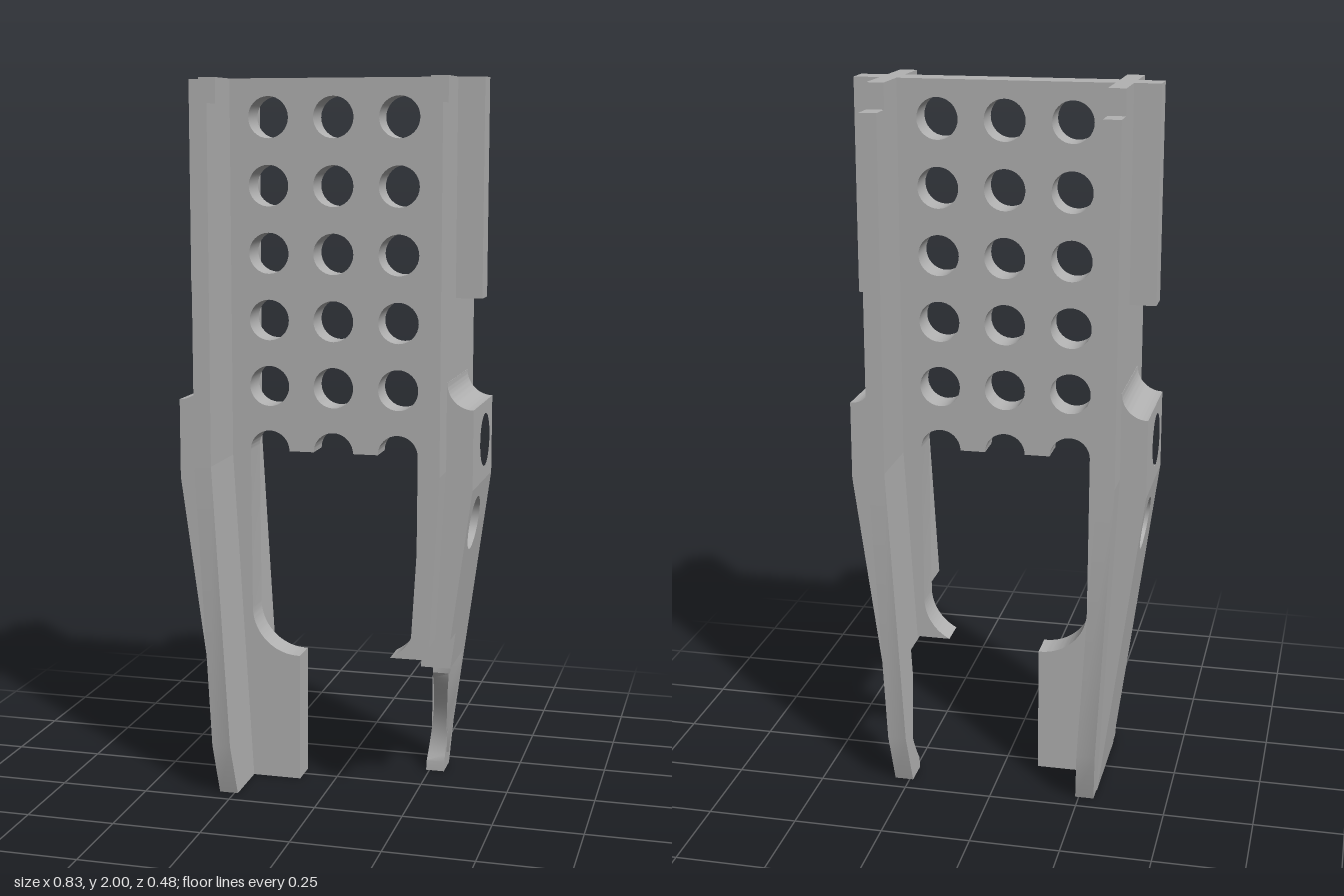
import * as THREE from 'three';
import { toCreasedNormals } from 'three/addons/utils/BufferGeometryUtils.js';

const BEND = 0.95;     // height where the side plates start leaning inward
const PAD_BEND = 0.9;  // height where the outer pads start tapering

const lerpBelow = (bend, low, high) => y => low + (high - low) * Math.min(1, y / bend);
const plateInner = lerpBelow(BEND, 0.24, 0.295);
const plateOuter = lerpBelow(BEND, 0.293, 0.343);
const padInner = y => plateOuter(y) - 0.004;
const padOuter = lerpBelow(PAD_BEND, 0.295, 0.416);

// Slab drawn as a [z, y] outline, with its two faces following x = inner(y), outer(y)
function slab(outline, inner, outer, hole, scoop) {
  const shape = new THREE.Shape(outline.map(([z, y]) => new THREE.Vector2(-z, y)));
  if (hole) shape.holes.push(new THREE.Path().absarc(-hole[0], hole[1], 0.074, 0, Math.PI * 2, true));
  const geo = new THREE.ExtrudeGeometry(shape, { depth: 1, bevelEnabled: false, curveSegments: 16 });
  geo.rotateY(Math.PI / 2);
  const p = geo.attributes.position;
  for (let i = 0; i < p.count; i++) {
    const isInner = p.getX(i) < 0.5, y = p.getY(i), z = p.getZ(i);
    if (scoop) p.setZ(i, z - scoop(y, z, isInner));
    p.setX(i, isInner ? inner(y) : outer(y));
  }
  return toCreasedNormals(geo, 0.5);
}

// Flat [x, y] shape extruded symmetrically along z
function extrudeZ(shape, halfDepth) {
  const geo = new THREE.ExtrudeGeometry(shape, { depth: halfDepth * 2, bevelEnabled: false, curveSegments: 16 });
  geo.translate(0, 0, -halfDepth);
  return toCreasedNormals(geo, 0.5);
}

function webShape() {
  const s = new THREE.Shape();
  const columns = [-0.185, 0, 0.185], r = 0.057;
  s.moveTo(-0.3, 2);
  s.lineTo(-0.3, BEND);
  s.lineTo(-0.25, 0);
  s.lineTo(-0.1, 0);
  s.lineTo(-0.1, 0.37);
  s.absarc(-0.105, 0.505, 0.135, -Math.PI / 2, -Math.PI, true);
  // Half holes along the lower edge
  for (const x of columns) s.absarc(x, 0.967, r, Math.PI, 0, true);
  // Fillet on the broken side stops early
  s.absarc(0.105, 0.505, 0.135, 0, -1.1, true);
  s.lineTo(0.267, 0.385);
  s.lineTo(0.3, BEND);
  s.lineTo(0.3, 2);
  for (const x of columns)
    for (let row = 0; row < 5; row++)
      s.holes.push(new THREE.Path().absarc(x, 1.895 - row * 0.186, r, 0, Math.PI * 2, true));
  return s;
}

export function createModel() {
  const model = new THREE.Group();
  const grey = new THREE.MeshStandardMaterial({ color: 0xb2b2b2 });
  grey.name = 'plain grey';
  const add = (parent, name, geo) => {
    const mesh = new THREE.Mesh(geo, grey);
    mesh.name = name;
    parent.add(mesh);
    return mesh;
  };

  add(model, 'perforatedWeb', extrudeZ(webShape(), 0.043));

  const W = 0.24, P = 0.148;
  const upperPlate = [[W, BEND], [W, 1.93], [0.167, 1.93], [0.167, 2],
    [-0.167, 2], [-0.167, 1.93], [-W, 1.93], [-W, BEND]];
  const lowerPlate = [[W, BEND], [W, 0.15], [0.2, 0], [-0.2, 0], [-W, 0.15], [-W, BEND]];
  const lowerPad = [[P, PAD_BEND], [P, 0], [-P, 0], [-P, PAD_BEND]];

  // Broken leg: stepped lower end, with a thin spike left at the rear
  const steps = [[0.07, 0.48], [0.07, 0.375], [-0.12, 0.375]];
  const biteEdge = [];
  for (let i = 0; i <= 14; i++) biteEdge.push([-0.12, 0.3 - 0.27 * i / 14]);
  const brokenPlate = [[W, BEND], [W, 0.48], ...steps, ...biteEdge,
    [-0.12, 0], [-0.2, 0], [-W, 0.15], [-W, BEND]];
  const brokenPad = [[P, PAD_BEND], [P, 0.48], ...steps,
    [-0.12, 0.24], [-0.135, 0.17], [-0.138, 0.1], [-P, 0.05], [-P, PAD_BEND]];
  // Rounded bite, deeper on the inner face of the spike
  const scoop = (y, z, isInner) => {
    if (Math.abs(z + 0.12) > 0.001 || y > 0.3 || y < 0.03) return 0;
    return (isInner ? 0.058 : 0.018) * Math.sin(Math.PI * (y - 0.03) / 0.27);
  };

  // Concave shoulder on top of each pad
  const shoulder = new THREE.Shape();
  shoulder.moveTo(0.338, 1.12);
  shoulder.lineTo(0.416, 1.12);
  shoulder.absarc(0.416, 1.192, 0.072, -Math.PI / 2, -Math.PI, true);
  shoulder.lineTo(0.338, 1.192);

  for (const broken of [true, false]) {
    const side = new THREE.Group();
    side.name = broken ? 'leftSide' : 'rightSide';
    add(side, 'upperSidePlate', slab(upperPlate, plateInner, plateOuter));
    add(side, 'lowerSidePlate', slab(broken ? brokenPlate : lowerPlate, plateInner, plateOuter,
      null, broken ? scoop : null));
    add(side, 'upperPad', slab([[P, PAD_BEND], [P, 1.12], [-P, 1.12], [-P, PAD_BEND]],
      padInner, padOuter, [-0.035, 1.012]));
    add(side, 'lowerPad', slab(broken ? brokenPad : lowerPad, padInner, padOuter, [0.04, 0.79]));
    add(side, 'padShoulder', extrudeZ(shoulder, P));
    add(side, 'guideRail', new THREE.BoxGeometry(0.078, 0.59, 0.074)).position.set(0.377, 1.705, 0);
    if (!broken) side.rotation.y = Math.PI;
    model.add(side);
  }
  return model;
}
